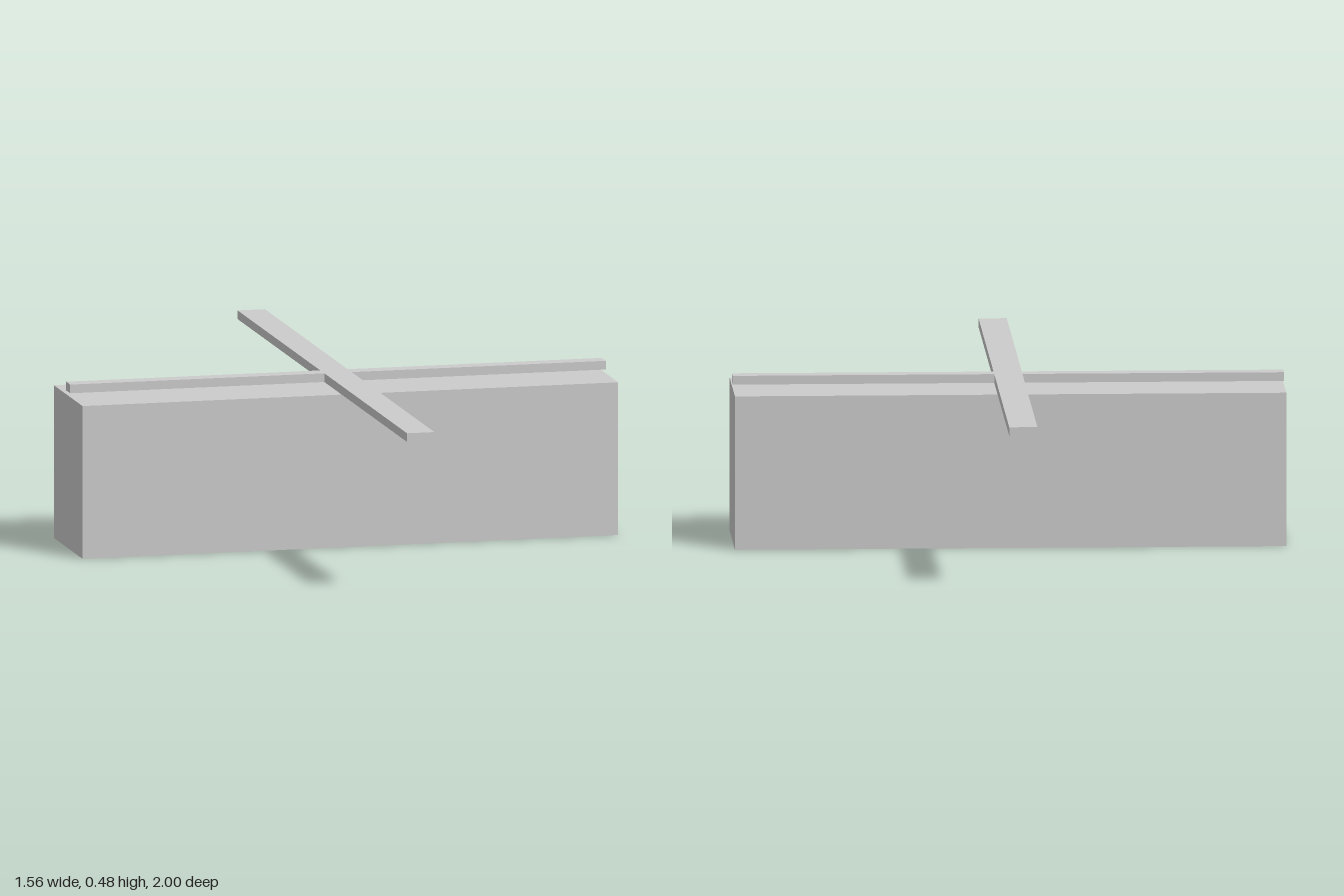
import * as THREE from 'three';

export function createModel() {
  const group = new THREE.Group();
  const material = new THREE.MeshStandardMaterial({ color: 0xcccccc, flatShading: true });

  // Solid rectangular body
  const bodyHeight = 0.44;
  const body = new THREE.Mesh(new THREE.BoxGeometry(1.564, bodyHeight, 0.34), material);
  body.name = 'body';
  body.position.y = bodyHeight / 2;
  group.add(body);

  // Flat cross hovering just above the body: narrow rail along x, wide long bar along z
  const railX = 0.782, railHalf = 0.024, barHalf = 0.04, barZ = 1;
  const outline = [
    [barHalf, railHalf], [barHalf, barZ], [-barHalf, barZ], [-barHalf, railHalf],
    [-railX, railHalf], [-railX, -railHalf], [-barHalf, -railHalf], [-barHalf, -barZ],
    [barHalf, -barZ], [barHalf, -railHalf], [railX, -railHalf], [railX, railHalf],
  ].map(([x, y]) => new THREE.Vector2(x, y));
  const crossGeometry = new THREE.ExtrudeGeometry(new THREE.Shape(outline), {
    depth: 0.025, bevelEnabled: false,
  });
  crossGeometry.rotateX(-Math.PI / 2);
  const cross = new THREE.Mesh(crossGeometry, material);
  cross.name = 'crossBars';
  cross.position.y = 0.451;
  group.add(cross);

  return group;
}
